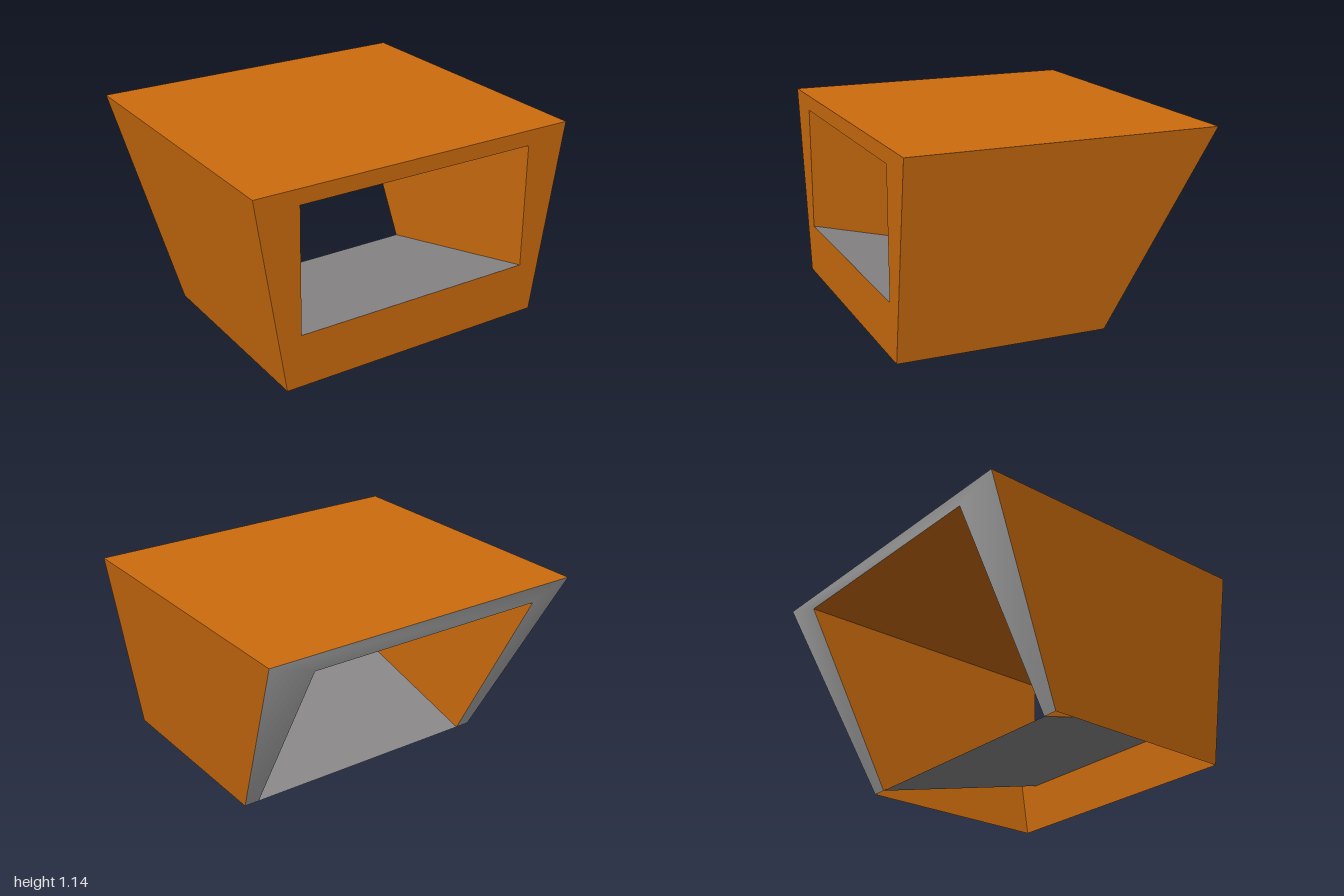
import * as THREE from 'three';

const H = 1.14, TOP = 1, BASE = 0.825;          // outer height and half widths
const FRONT = 0.895, BACK = -0.895, HEEL = -0.325; // depth of front, back top, back bottom
const W = 0.735, SILL = 0.31, HEAD = 1.05;      // opening half width, bottom, top

export function createModel() {
  const group = new THREE.Group();
  const material = (name, color) => {
    const m = new THREE.MeshStandardMaterial({ color, side: THREE.DoubleSide });
    m.name = name;
    return m;
  };
  const orange = material('orange', 0xcc6c0e);
  const floorGrey = material('floor grey', 0x8a8888);
  const rimGrey = material('rim grey', 0xb0b0b0);

  const add = (name, geometry, mat) => {
    const mesh = new THREE.Mesh(geometry, mat);
    mesh.name = name;
    group.add(mesh);
    return mesh;
  };
  const surface = (points, index) => {
    const g = new THREE.BufferGeometry();
    g.setAttribute('position', new THREE.Float32BufferAttribute(points.flat(), 3));
    g.setIndex(index);
    g.computeVertexNormals();
    return g;
  };
  // Four corners, counter-clockwise as seen from the outside
  const panel = (name, corners, mat) => add(name, surface(corners, [0, 1, 2, 0, 2, 3]), mat);
  const mirrored = (corners) => corners.map(([x, y, z]) => [-x, y, z]).reverse();

  // Front frame with a rectangular opening
  const face = new THREE.Shape([[-BASE, 0], [BASE, 0], [TOP, H], [-TOP, H]]
    .map((p) => new THREE.Vector2(...p)));
  face.holes.push(new THREE.Path([[-W, SILL], [-W, HEAD], [W, HEAD], [W, SILL]]
    .map((p) => new THREE.Vector2(...p))));
  add('frontFrame', new THREE.ShapeGeometry(face), orange).position.z = FRONT;

  // Outer shell, open underneath
  panel('roof', [[-TOP, H, FRONT], [TOP, H, FRONT], [TOP, H, BACK], [-TOP, H, BACK]], orange);
  const side = [[BASE, 0, FRONT], [BASE, 0, HEEL], [TOP, H, BACK], [TOP, H, FRONT]];
  panel('leftSide', side, orange);
  panel('rightSide', mirrored(side), orange);

  // Tunnel lining
  panel('ceiling', [[-W, HEAD, BACK], [W, HEAD, BACK], [W, HEAD, FRONT], [-W, HEAD, FRONT]], orange);
  const lining = [[W, SILL, FRONT], [W, HEAD, FRONT], [W, HEAD, BACK], [W, 0, HEEL]];
  panel('leftLining', lining, orange);
  panel('rightLining', mirrored(lining), orange);
  panel('floor', [[-W, SILL, FRONT], [W, SILL, FRONT], [W, 0, HEEL], [-W, 0, HEEL]], floorGrey);

  // Smooth rim around the slanted back opening
  const outer = [[BASE, 0, HEEL], [TOP, H, BACK], [-TOP, H, BACK], [-BASE, 0, HEEL]];
  const inner = [[W, 0, HEEL], [W, HEAD, BACK], [-W, HEAD, BACK], [-W, 0, HEEL]];
  const index = [];
  for (let i = 0; i < 3; i++) index.push(i, i + 4, i + 5, i, i + 5, i + 1);
  add('backRim', surface([...outer, ...inner], index), rimGrey);

  return group;
}
